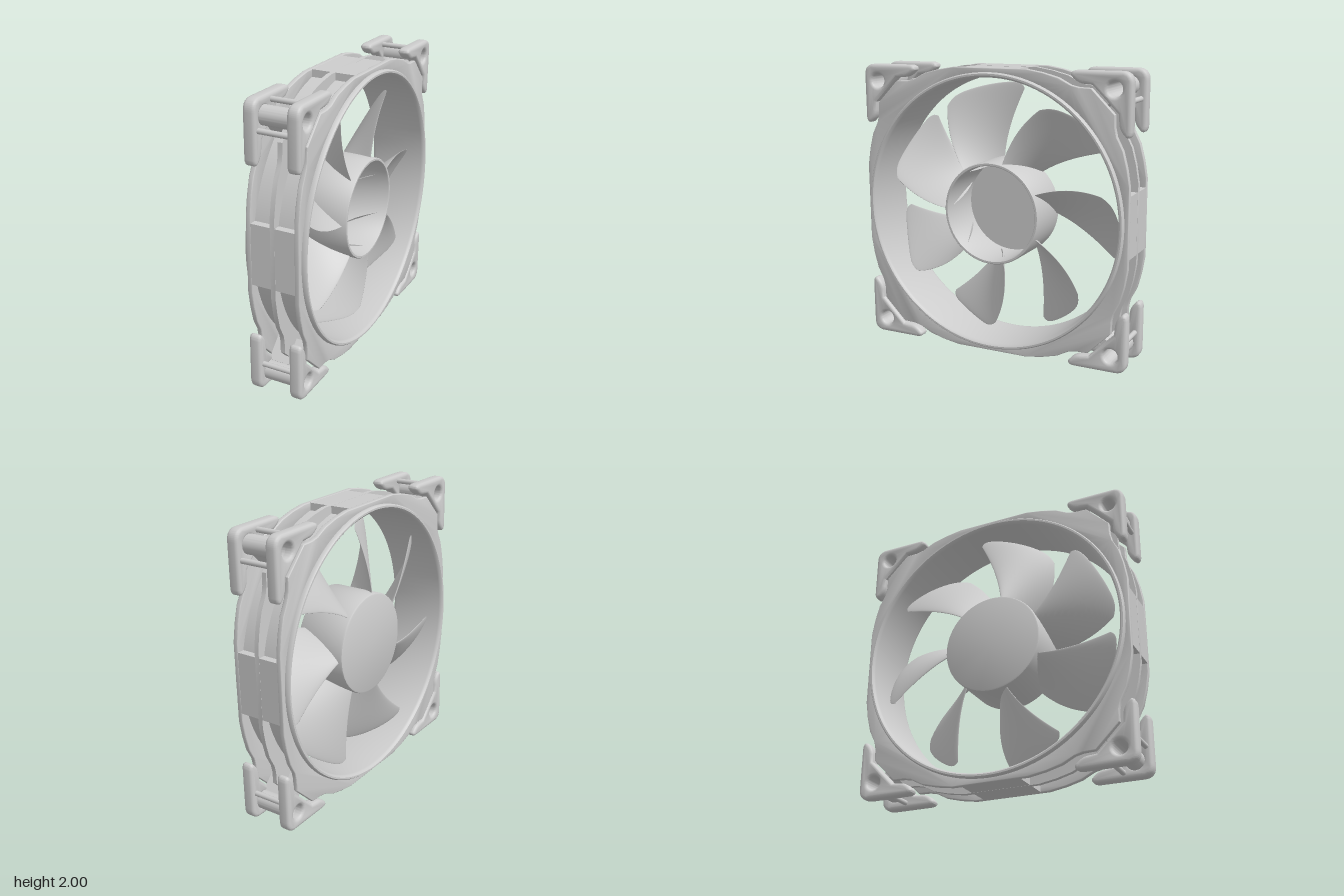
import * as THREE from 'three';
import { toCreasedNormals } from 'three/addons/utils/BufferGeometryUtils.js';

const material = new THREE.MeshStandardMaterial({ color: 0xcccccc });

function add(parent, name, geometry) {
  const mesh = new THREE.Mesh(geometry, material);
  mesh.name = name;
  parent.add(mesh);
  return mesh;
}

const vec = (list) => list.map(([x, y]) => new THREE.Vector2(x, y));
const circle = (x, y, r) => new THREE.Path().absarc(x, y, r, 0, Math.PI * 2, true);

// Closed profile of [radius, depth] points turned around the fan axis (z)
function turned(profile, segments = 96) {
  const g = new THREE.LatheGeometry(vec(profile), segments).rotateX(Math.PI / 2);
  return toCreasedNormals(g, 0.7);
}

// Extrude a shape from depth z0 to z1 with an inset bevel
function slab(shape, z0, z1, bevel, curveSegments = 24) {
  const g = new THREE.ExtrudeGeometry(shape, {
    depth: z1 - z0 - 2 * bevel, bevelEnabled: bevel > 0, bevelThickness: bevel,
    bevelSize: bevel, bevelOffset: -bevel, bevelSegments: 3, curveSegments,
  }).translate(0, 0, z0 + bevel);
  return toCreasedNormals(g, 0.6);
}

// Rounded-square flange outline with cut corners and a round opening
function flangeShape() {
  const side = [[0.993, -0.27], [0.993, 0.27], [0.973, 0.39], [0.944, 0.5], [0.9, 0.585],
    [0.888, 0.64], [0.885, 0.725], [0.725, 0.885], [0.64, 0.888], [0.585, 0.9], [0.5, 0.944], [0.39, 0.973]];
  const points = [];
  for (let k = 0; k < 4; k++) {
    for (const p of vec(side)) points.push(p.rotateAround(new THREE.Vector2(), k * Math.PI / 2));
  }
  const shape = new THREE.Shape(points);
  shape.holes.push(circle(0, 0, 0.95));
  return shape;
}

// L-shaped corner pad with a screw hole
function padShape() {
  const s = new THREE.Shape();
  s.moveTo(0.995, 0.62);
  s.lineTo(0.995, 0.915);
  s.quadraticCurveTo(0.995, 0.995, 0.915, 0.995);
  s.lineTo(0.62, 0.995);
  s.quadraticCurveTo(0.575, 0.99, 0.582, 0.962);
  s.quadraticCurveTo(0.62, 0.915, 0.67, 0.91);
  s.lineTo(0.73, 0.905);
  s.lineTo(0.905, 0.73);
  s.lineTo(0.91, 0.67);
  s.quadraticCurveTo(0.915, 0.62, 0.962, 0.582);
  s.quadraticCurveTo(0.99, 0.575, 0.995, 0.62);
  s.holes.push(circle(0.88, 0.885, 0.05));
  return s;
}

// Swept, twisted blade lofted from lens-shaped sections between root and tip
function bladeGeometry() {
  const rows = 20, loop = 40, deg = Math.PI / 180;
  const pos = [], index = [];
  for (let i = 0; i <= rows; i++) {
    const s = Math.sin((i / rows) * Math.PI / 2);
    for (let j = 0; j < loop; j++) {
      const phi = (j / loop) * Math.PI * 2;
      const u = (1 - Math.cos(phi)) / 2;
      const bow = 4 * u * (1 - u);
      const root = 0.345 - 0.03 * bow;
      const tip = 0.85 + 0.04 * u - 0.05 * Math.abs(2 * u - 1) ** 8;
      const r = root + (tip - root) * s;
      const k = (r - 0.35) / 0.5;
      const a0 = -39 + 9 * k + 6 * k * k;
      const a1 = -8.5 + 21 * k - 4.5 * k * k;
      const a = (a0 + (a1 - a0) * u) * deg;
      const thick = (0.02 - 0.008 * s) * Math.sqrt(Math.max(0, 1 - s ** 6));
      const z = (0.15 - 0.02 * s) * (1 - 2 * u) - 0.03 * bow + thick * Math.sin(phi);
      pos.push(r * Math.sin(a), r * Math.cos(a), z);
    }
  }
  for (let i = 0; i < rows; i++) {
    for (let j = 0; j < loop; j++) {
      const n = (j + 1) % loop;
      const a = i * loop + j, b = i * loop + n, c = a + loop, d = b + loop;
      index.push(a, b, c, b, d, c);
    }
  }
  const g = new THREE.BufferGeometry();
  g.setAttribute('position', new THREE.Float32BufferAttribute(pos, 3));
  g.setIndex(index);
  g.computeVertexNormals();
  return g;
}

export function createModel() {
  const model = new THREE.Group();
  model.name = 'coolingFan';
  const fan = new THREE.Group();
  fan.name = 'fanAssembly';
  model.add(fan);

  // Shroud ring with rounded lips at both ends
  const lip = [[0.965, 0.185], [0.965, 0.207], [0.957, 0.217], [0.945, 0.217], [0.934, 0.207], [0.93, 0.19]];
  const lower = lip.map(([r, z]) => [r, -z]).reverse();
  add(fan, 'shroud', turned([...lip, ...lower, lip[0]], 128));

  // Outer flanges, and the thin rib running between the side pockets
  const flange = flangeShape();
  add(fan, 'frontFlange', slab(flange, 0.152, 0.186, 0.006, 96));
  add(fan, 'backFlange', slab(flange, -0.186, -0.152, 0.006, 96));
  add(fan, 'middleRib', slab(flange, -0.016, 0.016, 0, 96));

  // Four sides: solid block in the middle, and a corner mount
  const pad = padShape();
  const padFront = slab(pad, 0.105, 0.19, 0.022);
  const padBack = slab(pad, -0.19, -0.105, 0.022);
  const tubeShape = new THREE.Shape().absarc(0.88, 0.885, 0.063, 0, Math.PI * 2, false);
  tubeShape.holes.push(circle(0.88, 0.885, 0.05));
  const tube = slab(tubeShape, -0.13, 0.13, 0);
  const block = new THREE.BoxGeometry(0.055, 0.42, 0.32).translate(0.9645, 0, 0);
  const web = new THREE.BoxGeometry(0.18, 0.05, 0.24).translate(1.1, 0, 0).rotateZ(Math.PI / 4);
  for (let k = 0; k < 4; k++) {
    const quarter = new THREE.Group();
    quarter.name = 'frameQuarter';
    quarter.rotation.z = k * Math.PI / 2;
    fan.add(quarter);
    add(quarter, 'sideBlock', block);
    add(quarter, 'frontCornerPad', padFront);
    add(quarter, 'backCornerPad', padBack);
    add(quarter, 'screwTube', tube);
    add(quarter, 'cornerWeb', web);
    for (const [x, y] of [[0.955, 0.8], [0.8, 0.955]]) {
      const rod = new THREE.CylinderGeometry(0.018, 0.018, 0.26, 16).rotateX(Math.PI / 2);
      add(quarter, 'padRod', rod).position.set(x, y, 0);
    }
  }

  // Rotor: cup-shaped hub open at the front, with seven blades
  const rotor = new THREE.Group();
  rotor.name = 'rotor';
  fan.add(rotor);
  add(rotor, 'hub', turned([[0, -0.18], [0.343, -0.18], [0.352, -0.176], [0.356, -0.166], [0.356, 0.178],
    [0.351, 0.184], [0.338, 0.184], [0.333, 0.178], [0.333, -0.15], [0, -0.15]]));
  const blade = bladeGeometry();
  for (let k = 0; k < 7; k++) {
    add(rotor, 'blade', blade).rotation.z = -k * Math.PI * 2 / 7;
  }

  // Turn the axis to +x, lean slightly, and stand on the ground
  fan.rotation.y = Math.PI / 2;
  model.rotation.z = -0.0175;
  model.updateMatrixWorld(true);
  const box = new THREE.Box3().setFromObject(model, true);
  model.position.y = -box.min.y;
  return model;
}
